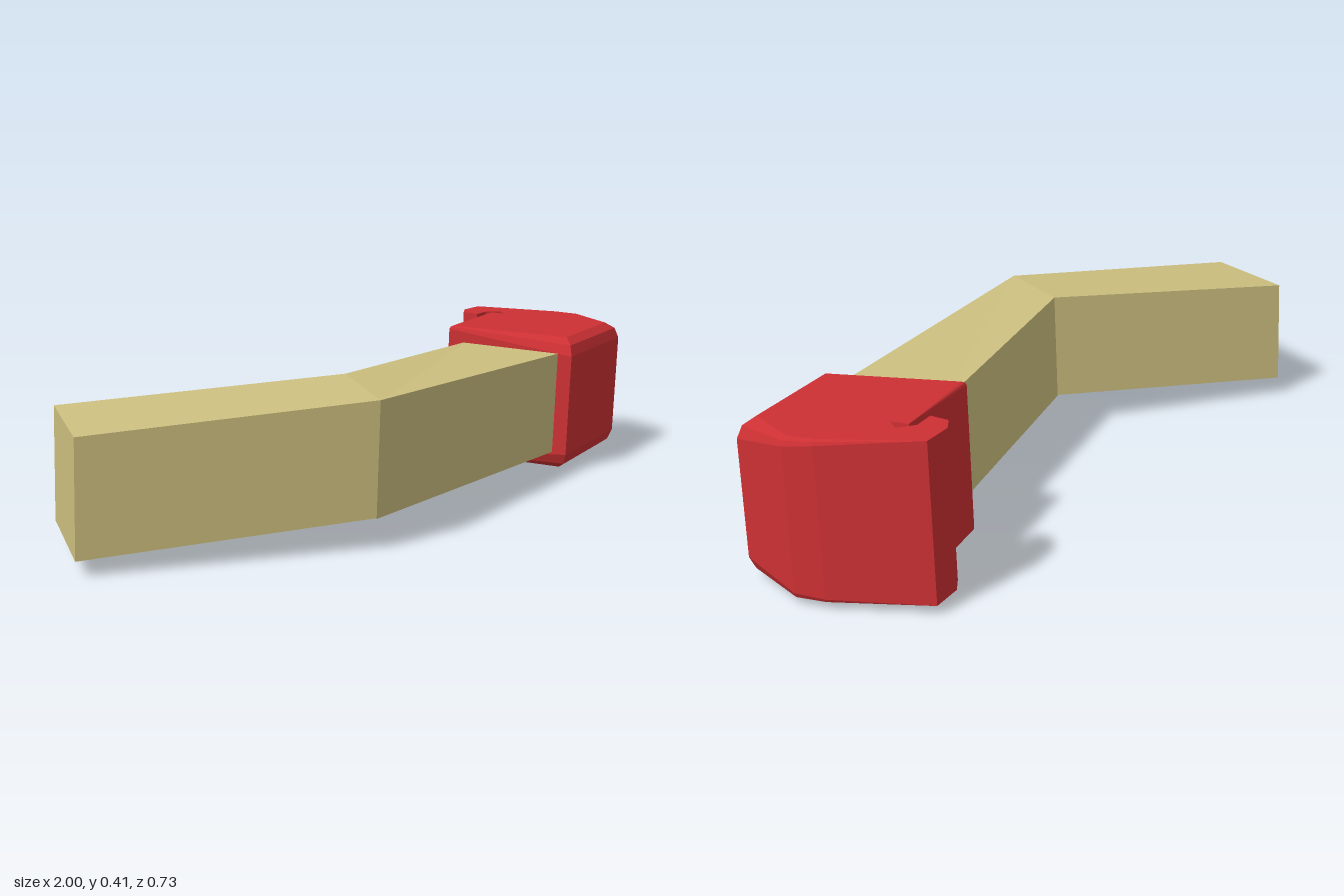
import * as THREE from 'three';

const LEAN = 0.045; // the whole model leans slightly forward

// Upright solid from an outline listed counter-clockwise from above.
// Each point is [x, z, topY, bevel]; bevel 0..1 softens the top and bottom rims towards the centre.
function prism(name, material, outline, height, centre = [0, 0]) {
  const steps = [[0, 0.2], [0.018, 0.06], [0.048, 0]]; // [depth below rim, inset]
  const ringAt = (top, [depth, inset]) => outline.map(([x, z, topY, bevel = 0]) => {
    const drop = top ? depth * bevel : height - depth * bevel;
    const k = inset * bevel;
    return new THREE.Vector3(
      x + (centre[0] - x) * k,
      topY - drop,
      z + (centre[1] - z) * k - drop * LEAN
    );
  });
  const rings = [
    ...steps.map(s => ringAt(false, s)),
    ...steps.slice().reverse().map(s => ringAt(true, s))
  ];
  const positions = [];
  const tri = (a, b, c) => {
    const area = b.clone().sub(a).cross(c.clone().sub(a)).length();
    if (area > 1e-9) for (const p of [a, b, c]) positions.push(p.x, p.y, p.z);
  };
  // walls and bevels
  for (let r = 0; r < rings.length - 1; r++) {
    const lo = rings[r], hi = rings[r + 1];
    for (let i = 0; i < outline.length; i++) {
      const j = (i + 1) % outline.length;
      tri(lo[i], lo[j], hi[j]);
      tri(lo[i], hi[j], hi[i]);
    }
  }
  // caps
  const bottom = rings[0], top = rings[rings.length - 1];
  const flat = top.map(p => new THREE.Vector2(p.x, -p.z));
  for (const [a, b, c] of THREE.ShapeUtils.triangulateShape(flat, [])) {
    tri(top[a], top[b], top[c]);
    tri(bottom[a], bottom[c], bottom[b]);
  }
  const geometry = new THREE.BufferGeometry();
  geometry.setAttribute('position', new THREE.Float32BufferAttribute(positions, 3));
  geometry.computeVertexNormals();
  const mesh = new THREE.Mesh(geometry, material);
  mesh.name = name;
  return mesh;
}

export function createModel() {
  const tan = new THREE.MeshStandardMaterial({ color: 0xcdbf7f, flatShading: true });
  tan.name = 'tan';
  const red = new THREE.MeshStandardMaterial({ color: 0xcc3033, flatShading: true });
  red.name = 'red';

  const model = new THREE.Group();
  model.name = 'bentArm';

  // shared elbow corners
  const elbowFront = [-0.375, 0.36, 0.365];
  const elbowBack = [-0.23, 0.105, 0.379];

  model.add(prism('upperArm', tan,
    [[-1, 0.02, 0.325], elbowFront, elbowBack, [-0.845, -0.27, 0.336]], 0.287));

  model.add(prism('forearm', tan,
    [elbowFront, [0.6, 0.162, 0.341], [0.53, -0.13, 0.351], elbowBack], 0.289));

  // fist with fingers curled back over the palm
  const fist = [
    [0.585, 0.21, 1],     // wrist, front
    [0.965, 0.108, 1],    // knuckles
    [1.0, -0.07, 0.4],
    [0.975, -0.14, 0.25],
    [0.845, -0.35, 0],    // finger bend
    [0.76, -0.335, 0],
    [0.72, -0.305, 0],    // fingertip
    [0.72, -0.252, 0],
    [0.78, -0.266, 0],
    [0.82, -0.238, 0],    // gap between finger and palm
    [0.795, -0.2, 0],
    [0.785, -0.247, 0],
    [0.49, -0.167, 0.2]   // wrist, back
  ].map(([x, z, bevel]) => [x, z, 0.392 - 0.04 * z, bevel]);
  model.add(prism('fist', red, fist, 0.384, [0.76, -0.02]));

  return model;
}
